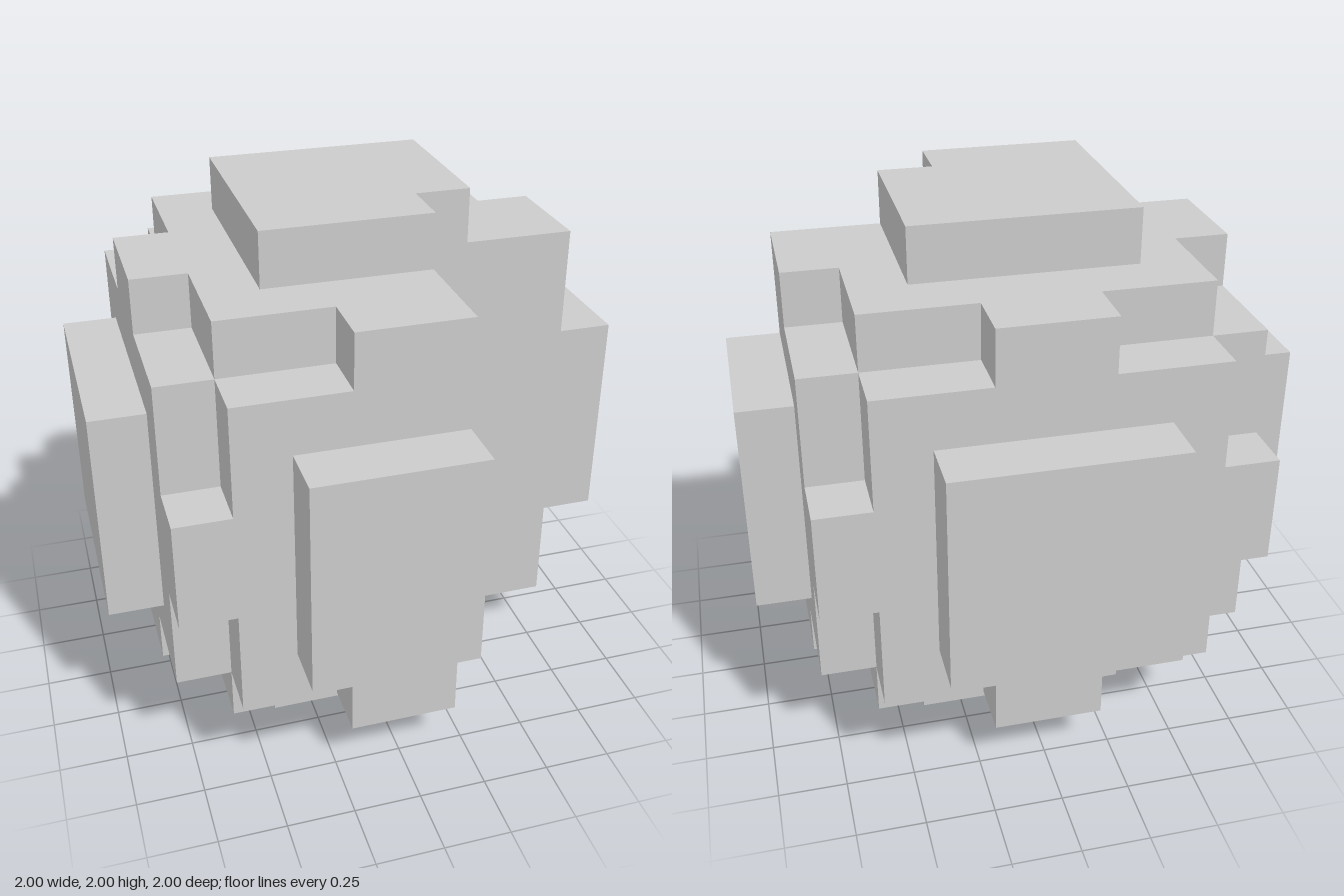
import * as THREE from 'three';
import { mergeGeometries } from 'three/addons/utils/BufferGeometryUtils.js';

const CELL = 0.2;   // edge of one block
const RADIUS = 5;   // ball radius, in blocks

// A block belongs to the ball if its centre lies inside the radius
// and outside the full-height wedge cut from the front left corner.
function isSolid(x, y, z) {
  const inBall = x * x + y * y + z * z <= RADIUS * RADIUS;
  const inCut = x > 1 && z > 1;
  return inBall && !inCut;
}

// One block face, turned from +z towards the given direction
function makeFace(dir) {
  const face = new THREE.PlaneGeometry(CELL, CELL);
  const turn = new THREE.Quaternion().setFromUnitVectors(new THREE.Vector3(0, 0, 1), dir);
  face.applyQuaternion(turn);
  face.translate(dir.x * CELL / 2, dir.y * CELL / 2, dir.z * CELL / 2);
  return { dir, face };
}

export function createModel() {
  const sides = [
    [1, 0, 0], [-1, 0, 0], [0, 1, 0], [0, -1, 0], [0, 0, 1], [0, 0, -1],
  ].map((d) => makeFace(new THREE.Vector3(...d)));

  // Only faces with no neighbouring block are kept, giving a closed skin
  const skin = [];
  for (let x = -4.5; x < RADIUS; x++) {
    for (let y = -4.5; y < RADIUS; y++) {
      for (let z = -4.5; z < RADIUS; z++) {
        if (!isSolid(x, y, z)) continue;
        for (const { dir, face } of sides) {
          if (isSolid(x + dir.x, y + dir.y, z + dir.z)) continue;
          skin.push(face.clone().translate(x * CELL, (y + RADIUS) * CELL, z * CELL));
        }
      }
    }
  }

  const ball = new THREE.Mesh(
    mergeGeometries(skin),
    new THREE.MeshStandardMaterial({ color: 0xcccccc, flatShading: true }),
  );
  ball.name = 'cutawayBlockBall';

  const model = new THREE.Group();
  model.name = 'blockBall';
  model.add(ball);
  return model;
}
